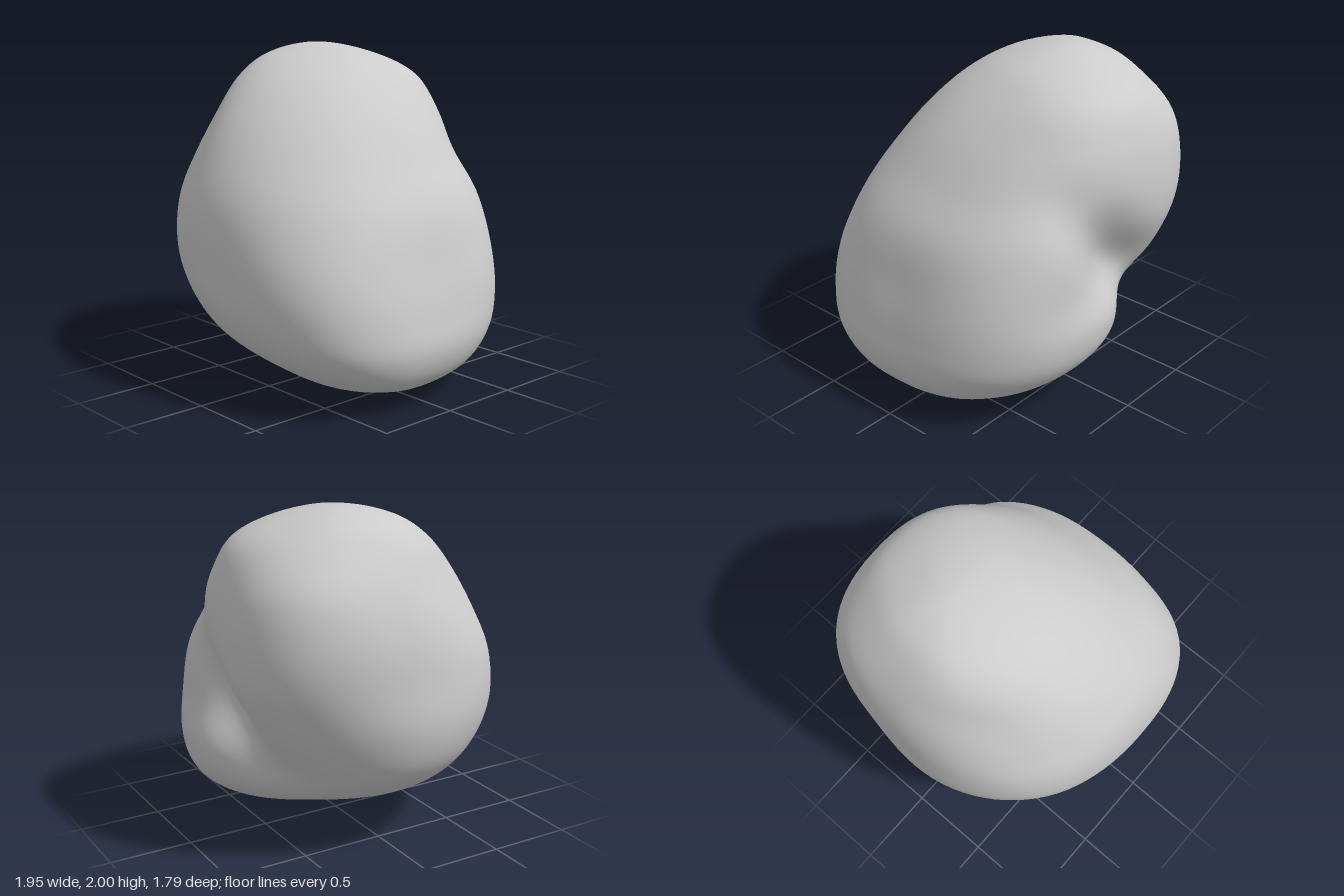
import * as THREE from 'three';
import { mergeVertices } from 'three/addons/utils/BufferGeometryUtils.js';

// Horizontal sections, top to bottom: height, centre x, centre z, then radii
// every 45 degrees: +x, +x+z, +z, -x+z, -x, -x-z, -z, +x-z
const SECTIONS = [
  [1.93, -0.36, -0.20, 0.38, 0.35, 0.34, 0.31, 0.26, 0.27, 0.29, 0.37],
  [1.80, -0.30, -0.20, 0.53, 0.56, 0.57, 0.51, 0.46, 0.49, 0.53, 0.58],
  [1.60, -0.25, -0.17, 0.69, 0.74, 0.74, 0.64, 0.63, 0.71, 0.67, 0.70],
  [1.35, -0.15, -0.10, 0.78, 0.84, 0.84, 0.80, 0.80, 0.89, 0.78, 0.80],
  [1.10, -0.05, -0.05, 0.85, 0.92, 0.90, 0.93, 0.92, 0.98, 0.82, 0.89],
  [0.80, 0.03, 0.00, 0.86, 0.97, 0.89, 0.96, 1.00, 0.96, 0.83, 0.95],
  [0.55, 0.12, 0.00, 0.83, 0.95, 0.88, 0.93, 1.00, 0.88, 0.87, 0.91],
  [0.35, 0.20, 0.00, 0.77, 0.87, 0.79, 0.81, 0.86, 0.80, 0.82, 0.82],
  [0.18, 0.30, 0.00, 0.60, 0.67, 0.57, 0.51, 0.47, 0.57, 0.64, 0.63],
  [0.07, 0.38, 0.00, 0.36, 0.35, 0.27, 0.26, 0.27, 0.31, 0.33, 0.35],
  [0.02, 0.41, 0.00, 0.18, 0.17, 0.14, 0.14, 0.14, 0.15, 0.16, 0.17],
];
const TOP = new THREE.Vector3(-0.38, 2, -0.2);
const BOTTOM = new THREE.Vector3(0.42, 0, 0);
const COLS = 96, ROWS = 88;

// Smooth periodic radius between the eight given directions
function radiusAt(section, angle) {
  const t = (angle / (Math.PI * 2)) * 8;
  const k = Math.floor(t), f = t - k;
  const [a, b, c, d] = [-1, 0, 1, 2].map((o) => section[3 + ((k + o + 8) % 8)]);
  return b + 0.5 * f * (c - a + f * (2 * a - 5 * b + 4 * c - d + f * (3 * (b - c) + d - a)));
}

function meridian(angle) {
  return SECTIONS.map((s) => {
    const r = radiusAt(s, angle);
    return new THREE.Vector3(s[1] + r * Math.cos(angle), s[0], s[2] + r * Math.sin(angle));
  });
}

// Depth of the slanting groove that parts the two lobes on the back
function grooveDepth(p) {
  const across = (p.y - 0.95 - 0.85 * p.x) / 1.31;
  const along = p.x + 0.12;
  const back = THREE.MathUtils.smoothstep(-p.z, 0.2, 0.7);
  return 0.14 * back * Math.exp(-((across / 0.21) ** 2) - (along / 0.42) ** 2);
}

function boulderGeometry() {
  const positions = [], index = [];
  for (let j = 0; j < COLS; j++) {
    const angle = (j / COLS) * Math.PI * 2;
    // A closed loop over both poles keeps the top and bottom rounded
    const loop = new THREE.CatmullRomCurve3(
      [TOP, ...meridian(angle), BOTTOM, ...meridian(angle + Math.PI).reverse()], true);
    for (let i = 0; i <= ROWS; i++) {
      const p = i === 0 ? TOP : i === ROWS ? BOTTOM : loop.getPoint(i / (2 * ROWS));
      positions.push(p.x, p.y, p.z + grooveDepth(p));
    }
  }
  const at = (i, j) => (j % COLS) * (ROWS + 1) + i;
  for (let j = 0; j < COLS; j++) {
    for (let i = 0; i < ROWS; i++) {
      // The rows at the poles have one triangle per column
      if (i > 0) index.push(at(i, j), at(i, j + 1), at(i + 1, j));
      if (i < ROWS - 1) index.push(at(i, j + 1), at(i + 1, j + 1), at(i + 1, j));
    }
  }
  const geometry = new THREE.BufferGeometry();
  geometry.setAttribute('position', new THREE.Float32BufferAttribute(positions, 3));
  geometry.setIndex(index);
  const merged = mergeVertices(geometry, 1e-5);
  merged.computeVertexNormals();
  return merged;
}

export function createModel() {
  const group = new THREE.Group();
  group.name = 'rock';
  const boulder = new THREE.Mesh(boulderGeometry(), new THREE.MeshStandardMaterial({ color: 0xcccccc }));
  boulder.name = 'boulder';
  group.add(boulder);
  return group;
}
